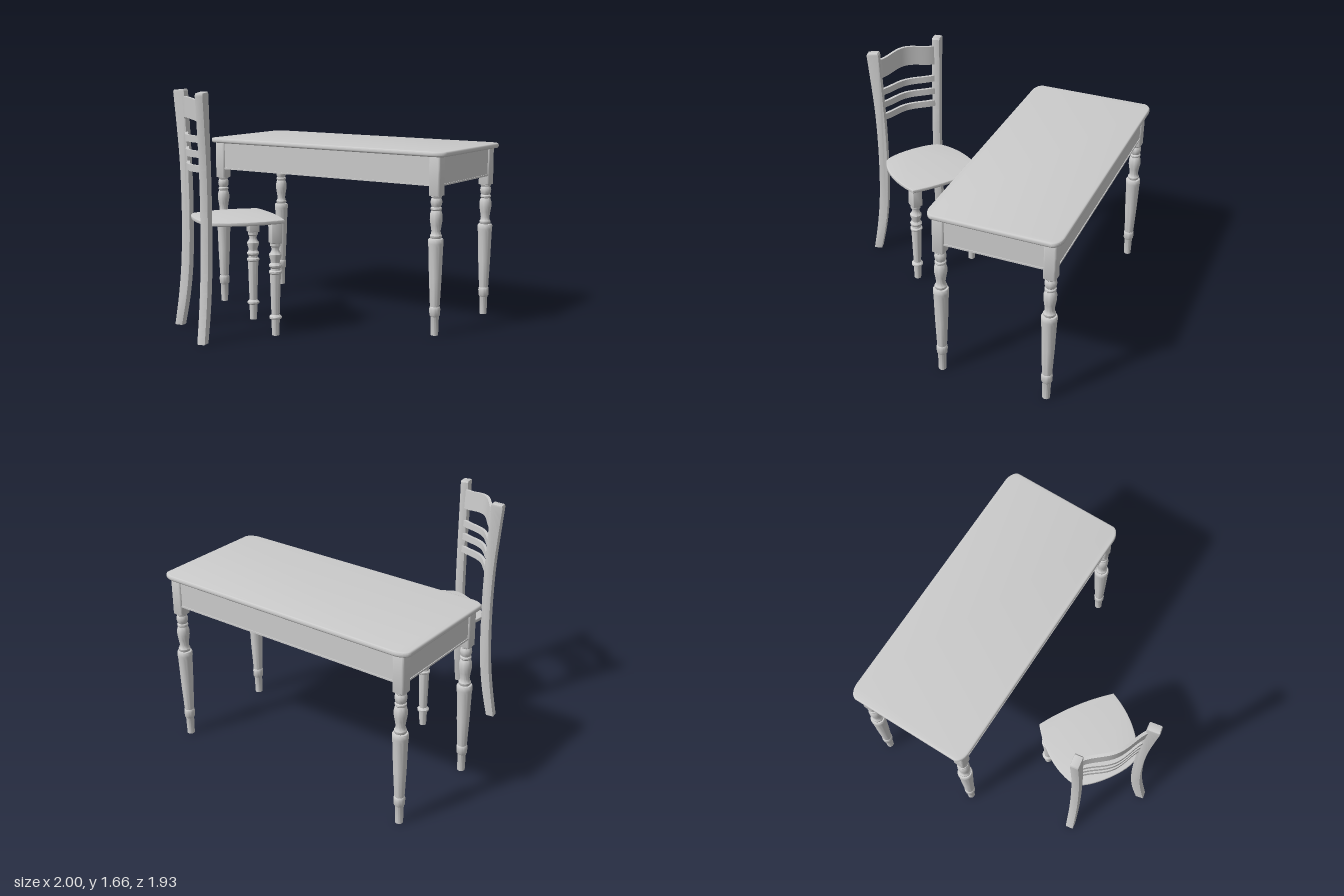
import * as THREE from 'three';
import { toCreasedNormals } from 'three/addons/utils/BufferGeometryUtils.js';

const material = new THREE.MeshStandardMaterial({ color: 0xcccccc });

function add(parent, name, geometry, x = 0, y = 0, z = 0) {
  const mesh = new THREE.Mesh(geometry, material);
  mesh.name = name;
  mesh.position.set(x, y, z);
  parent.add(mesh);
  return mesh;
}

// Turned leg from [radius, height] pairs
function turned(profile) {
  const points = profile.map(([r, y]) => new THREE.Vector2(r, y));
  return toCreasedNormals(new THREE.LatheGeometry(points, 28), 0.6);
}

// Rectangle with elliptical corners
function roundedRect(hx, hy, rx, ry) {
  const s = new THREE.Shape();
  s.absellipse(hx - rx, hy - ry, rx, ry, 0, Math.PI / 2);
  s.absellipse(-hx + rx, hy - ry, rx, ry, Math.PI / 2, Math.PI);
  s.absellipse(-hx + rx, -hy + ry, rx, ry, Math.PI, Math.PI * 1.5);
  s.absellipse(hx - rx, -hy + ry, rx, ry, Math.PI * 1.5, Math.PI * 2);
  s.closePath();
  return s;
}

// Horizontal board: outline (x, z) extruded upward from y = 0, with eased edges
function board(shape, thickness, bevel) {
  const g = new THREE.ExtrudeGeometry(shape, {
    depth: thickness - 2 * bevel, bevelEnabled: bevel > 0, bevelSize: bevel,
    bevelThickness: bevel, bevelOffset: -bevel, bevelSegments: 3, curveSegments: 12,
  });
  g.rotateX(Math.PI / 2).translate(0, thickness - bevel, 0);
  return toCreasedNormals(g, 0.6);
}

function createTable() {
  const table = new THREE.Group();
  table.name = 'table';
  table.position.z = -0.52;
  add(table, 'tableTop', board(roundedRect(1, 0.45, 0.1, 0.06), 0.035, 0.012), 0, 1.225, 0);

  const legX = 0.917, legZ = 0.373;
  const leg = turned([
    [0, 0], [0.026, 0], [0.029, 0.13], [0.036, 0.14], [0.038, 0.18], [0.036, 0.195],
    [0.032, 0.2], [0.034, 0.215], [0.043, 0.4], [0.05, 0.61], [0.053, 0.635], [0.053, 0.66],
    [0.048, 0.668], [0.036, 0.67], [0.041, 0.678], [0.041, 0.69], [0.034, 0.7], [0.031, 0.72],
    [0.037, 0.76], [0.043, 0.795], [0.043, 0.83], [0.037, 0.852], [0.032, 0.86], [0.038, 0.868],
    [0.038, 0.878], [0.031, 0.885], [0.037, 0.9], [0.04, 0.918], [0.037, 0.935],
    [0.031, 0.945], [0.038, 0.952], [0.038, 0.965],
  ]);
  const block = board(roundedRect(0.042, 0.042, 0.014, 0.014), 0.267, 0.003);
  for (const sx of [-1, 1]) for (const sz of [-1, 1]) {
    add(table, 'tableLeg', leg, sx * legX, 0, sz * legZ);
    add(table, 'legBlock', block, sx * legX, 0.96, sz * legZ);
  }

  // Aprons with a small bead along the lower edge
  for (const s of [-1, 1]) {
    add(table, 'longApron', new THREE.BoxGeometry(legX * 2, 0.2, 0.025), 0, 1.13, s * 0.392);
    add(table, 'longApronBead', new THREE.BoxGeometry(legX * 2, 0.012, 0.031), 0, 1.031, s * 0.394);
    add(table, 'shortApron', new THREE.BoxGeometry(0.025, 0.2, legZ * 2), s * 0.936, 1.13, 0);
    add(table, 'shortApronBead', new THREE.BoxGeometry(0.031, 0.012, legZ * 2), s * 0.938, 1.031, 0);
  }
  return table;
}

// Back slat bowed backwards; crown raises the middle into a wave
function slat(height, thickness, crown, lean) {
  const half = 0.235;
  const g = new THREE.BoxGeometry(2 * half, height, thickness, 28, 1, 1);
  const p = g.attributes.position;
  for (let i = 0; i < p.count; i++) {
    const wave = 0.5 + 0.5 * Math.cos(Math.PI * p.getX(i) / half);
    const y = p.getY(i);
    p.setY(i, y + crown * wave);
    p.setZ(i, p.getZ(i) + 0.048 * wave + lean * y);
  }
  g.computeVertexNormals();
  return g;
}

// Curved back post: side profile (outward, up) extruded across its thickness
function postGeometry() {
  const v = (x, y) => new THREE.Vector2(x, y);
  const s = new THREE.Shape();
  s.moveTo(0.042, 0);
  s.lineTo(0.1, 0);
  s.splineThru([v(0.068, 0.2), v(0.045, 0.4), v(0.034, 0.6), v(0.031, 0.8), v(0.034, 1.0),
    v(0.043, 1.2), v(0.06, 1.4), v(0.084, 1.64)]);
  s.lineTo(0.078, 1.655);
  s.lineTo(0.005, 1.662);
  s.lineTo(-0.004, 1.65);
  s.splineThru([v(-0.016, 1.4), v(-0.026, 1.2), v(-0.033, 1.0), v(-0.035, 0.8), v(-0.033, 0.6),
    v(-0.023, 0.4), v(0.002, 0.2), v(0.042, 0)]);
  const t = 0.058, b = 0.005;
  const g = new THREE.ExtrudeGeometry(s, {
    depth: t - 2 * b, bevelSize: b, bevelThickness: b, bevelOffset: -b,
    bevelSegments: 2, curveSegments: 24,
  });
  g.translate(0, 0, -t / 2 + b);
  return toCreasedNormals(g, 0.5);
}

function createChair() {
  const chair = new THREE.Group();
  chair.name = 'chair';
  chair.position.set(-0.145, 0, 0.29);
  chair.rotation.y = -0.598;

  // Seat: bowed front, swelling sides and rounded back
  const seat = new THREE.Shape();
  seat.moveTo(-0.285, 0);
  seat.quadraticCurveTo(0, -0.05, 0.285, 0);
  seat.bezierCurveTo(0.33, 0.17, 0.32, 0.36, 0.235, 0.49);
  seat.bezierCurveTo(0.16, 0.56, -0.16, 0.56, -0.235, 0.49);
  seat.bezierCurveTo(-0.32, 0.36, -0.33, 0.17, -0.285, 0);
  add(chair, 'seat', board(seat, 0.026, 0.005), 0, 0.774, 0);

  const leg = turned([
    [0, 0], [0.025, 0], [0.029, 0.11], [0.042, 0.118], [0.043, 0.13], [0.036, 0.138],
    [0.028, 0.145], [0.029, 0.16], [0.037, 0.41], [0.037, 0.425], [0.044, 0.433],
    [0.044, 0.445], [0.034, 0.452], [0.032, 0.465], [0.043, 0.478], [0.044, 0.488],
    [0.036, 0.498], [0.031, 0.505], [0.033, 0.52], [0.042, 0.55], [0.043, 0.562],
    [0.033, 0.575], [0.026, 0.59], [0.028, 0.61], [0.037, 0.62], [0.037, 0.645],
  ]);
  const block = board(roundedRect(0.038, 0.038, 0.006, 0.006), 0.14, 0.006);
  const post = postGeometry();
  for (const s of [-1, 1]) {
    add(chair, 'frontLeg', leg, s * 0.241, 0, 0.051);
    add(chair, 'frontLegBlock', block, s * 0.241, 0.638, 0.051);
    const backPost = add(chair, 'backPost', post, s * 0.236, 0, 0.53);
    backPost.rotation.y = s > 0 ? -0.75 : 0.75 - Math.PI;
  }

  // Three narrow slats and a shaped top rail
  [1.148, 1.246, 1.346].forEach((y, i) => {
    add(chair, 'backSlat', slat(0.046, 0.022, 0, 0.06), 0, y, 0.524 + i * 0.005);
  });
  add(chair, 'topRail', slat(0.14, 0.022, 0.024, 0.06), 0, 1.529, 0.542);
  return chair;
}

export function createModel() {
  const model = new THREE.Group();
  model.name = 'tableAndChair';
  model.add(createTable(), createChair());
  return model;
}
